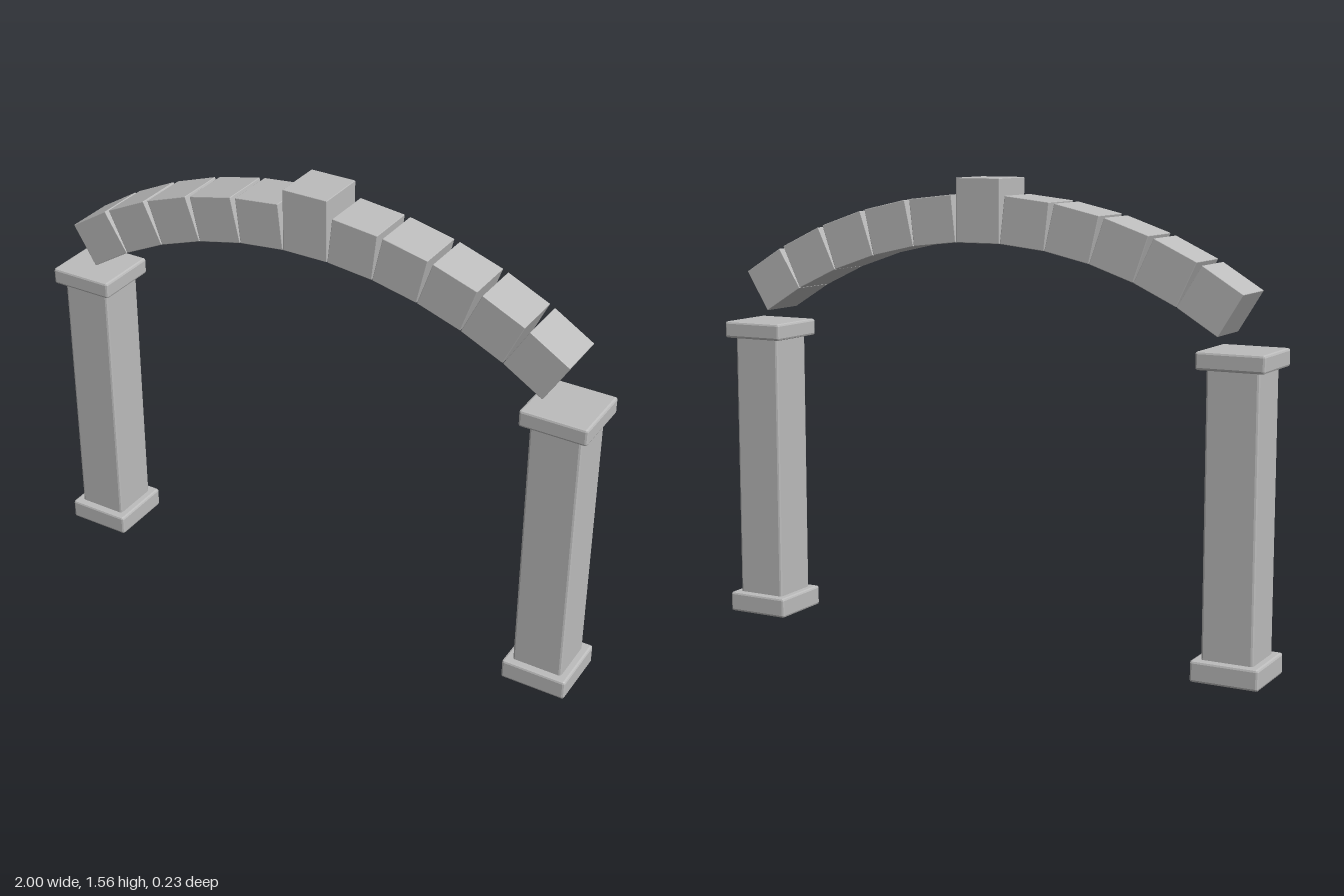
import * as THREE from 'three';
import { RoundedBoxGeometry } from 'three/addons/geometries/RoundedBoxGeometry.js';

const stone = new THREE.MeshStandardMaterial({ color: 0xbcbcbc });
stone.name = 'grey stone';

// Box with a single flat chamfer along every edge
function chamferedBox(name, w, h, d, bevel) {
  const geometry = new RoundedBoxGeometry(w, h, d, 1, bevel);
  geometry.computeVertexNormals();
  const mesh = new THREE.Mesh(geometry, stone);
  mesh.name = name;
  return mesh;
}

// Square pillar: plinth, shaft and capital
function createPillar(name) {
  const pillar = new THREE.Group();
  pillar.name = name;
  const parts = [
    ['base', 0.228, 0, 0.07],
    ['shaft', 0.174, 0.06, 1.0],
    ['capital', 0.228, 0.988, 1.046],
  ];
  for (const [part, width, bottom, top] of parts) {
    const mesh = chamferedBox(part, width, top - bottom, width, 0.008);
    mesh.position.y = (bottom + top) / 2;
    pillar.add(mesh);
  }
  return pillar;
}

// Arch of separate blocks whose lower corners meet on one circle
function createArch() {
  const arch = new THREE.Group();
  arch.name = 'arch';
  const radius = 1.461, centreY = 1.349 - radius;
  const step = THREE.MathUtils.degToRad(6.33);
  const width = 0.16, depth = 0.175;
  for (let i = -5; i <= 5; i++) {
    const height = i === 0 ? 0.21 : 0.156;
    const block = chamferedBox(i === 0 ? 'keystone' : 'archBlock', width, height, depth, 0.002);
    const angle = i * step, r = radius + height / 2;
    block.position.set(Math.sin(angle) * r, centreY + Math.cos(angle) * r, 0);
    block.rotation.z = -angle;
    arch.add(block);
  }
  return arch;
}

export function createModel() {
  const model = new THREE.Group();
  model.name = 'stoneArchway';
  for (const side of [-1, 1]) {
    const pillar = createPillar(side > 0 ? 'leftPillar' : 'rightPillar');
    pillar.position.x = side * 0.886;
    model.add(pillar);
  }
  model.add(createArch());
  return model;
}
